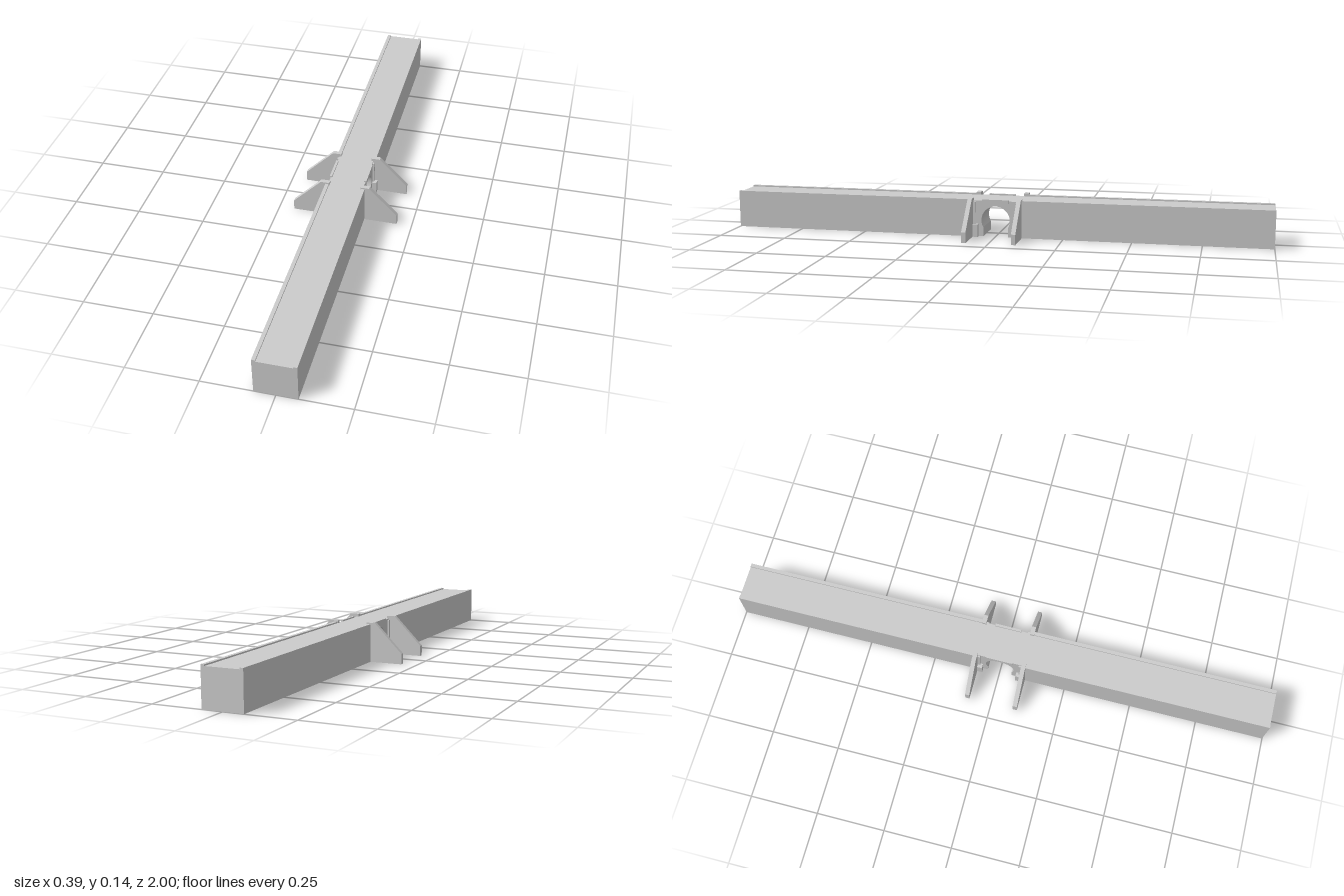
import * as THREE from 'three';

const mat = new THREE.MeshStandardMaterial({ color: 0xcccccc });
const HALF = 0.073, DECK = 0.133, CURB = 0.138, GAP = 0.085;

function createPart(group, name, geo) {
  const mesh = new THREE.Mesh(geo, mat);
  mesh.name = name;
  group.add(mesh);
  return mesh;
}

// Box given by its minimum and maximum corners
function block(group, name, x0, x1, y0, y1, z0, z1) {
  createPart(group, name, new THREE.BoxGeometry(x1 - x0, y1 - y0, z1 - z0))
    .position.set((x0 + x1) / 2, (y0 + y1) / 2, (z0 + z1) / 2);
}

// Polygon in x, y extruded along z from z0 to z1
function slab(group, name, points, z0, z1) {
  const shape = new THREE.Shape(points.map(p => new THREE.Vector2(...p)));
  const geo = new THREE.ExtrudeGeometry(shape, { depth: z1 - z0, bevelEnabled: false });
  geo.translate(0, 0, z0);
  return createPart(group, name, geo);
}

export function createModel() {
  const g = new THREE.Group();
  g.name = 'culvertRoad';

  // Road embankments with a raised curb along each edge
  const section = [[-HALF, 0], [HALF, 0], [HALF, CURB], [0.06, CURB], [0.06, DECK],
    [-0.06, DECK], [-0.06, CURB], [-HALF, CURB]];
  slab(g, 'frontRoad', section, GAP, 1);
  slab(g, 'backRoad', section, -1, -GAP);

  // Culvert block with a horseshoe opening running across the road
  const r = 0.053, cy = 0.06, foot = 0.046;
  const a = Math.acos(foot / r);
  const arch = new THREE.Shape();
  arch.moveTo(-GAP, 0);
  arch.lineTo(-foot, 0);
  arch.lineTo(-foot, cy - r * Math.sin(a));
  arch.absarc(0, cy, r, Math.PI + a, -a, true);
  arch.lineTo(foot, 0);
  arch.lineTo(GAP, 0);
  arch.lineTo(GAP, DECK);
  arch.lineTo(-GAP, DECK);
  const tunnel = new THREE.ExtrudeGeometry(arch, { depth: 0.13, bevelEnabled: false, curveSegments: 24 });
  tunnel.translate(0, 0, -0.065);
  tunnel.rotateY(Math.PI / 2);
  createPart(g, 'culvert', tunnel);

  // Wing walls, corner pilasters, footings and edge beams on both sides
  for (const s of [1, -1]) {
    const span = (a0, b0) => s > 0 ? [a0, b0] : [-b0, -a0];
    block(g, 'edgeBeam', ...span(0.06, 0.069), 0.125, CURB, -0.05, 0.05);
    for (const t of [1, -1]) {
      const depth = (a0, b0) => t > 0 ? [a0, b0] : [-b0, -a0];
      const wing = [[0.058, 0], [0.194, 0], [0.194, 0.038], [0.09, 0.143], [0.058, 0.143]];
      slab(g, 'wingWall', wing.map(([x, y]) => [x * s, y]), ...depth(0.083, 0.099));
      block(g, 'pilaster', ...span(0.06, 0.071), 0, 0.128, ...depth(0.073, 0.084));
      block(g, 'footing', ...span(0.06, 0.082), 0, 0.046, ...depth(0.064, 0.084));
    }
  }
  return g;
}
